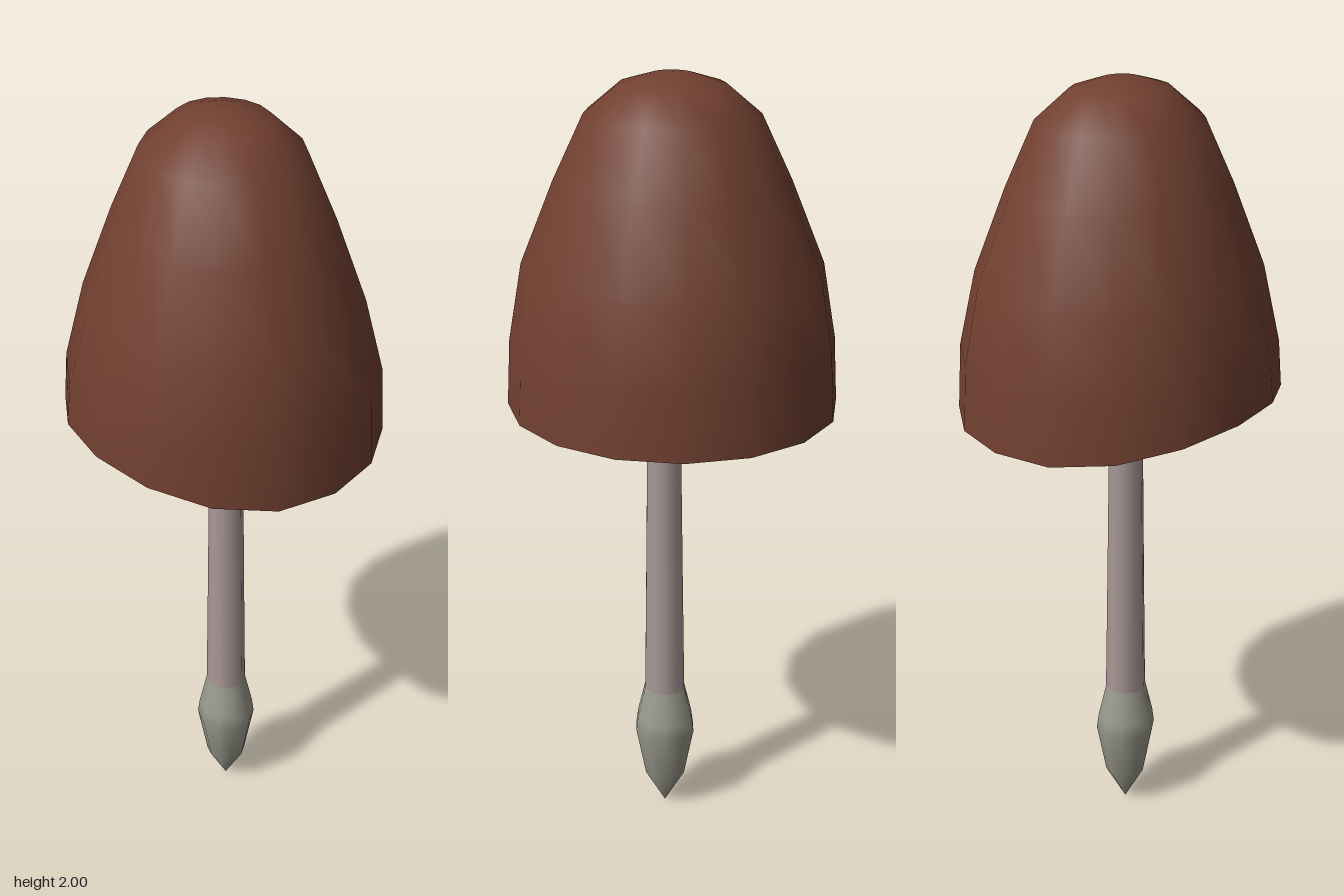
import * as THREE from 'three';

// Lathe of [radius, height] pairs, listed from bottom to top
function lathe(name, points, sides, color, start = 0) {
  const profile = points.map(([r, y]) => new THREE.Vector2(r, y));
  const geometry = new THREE.LatheGeometry(profile, sides, start);
  const mesh = new THREE.Mesh(geometry, new THREE.MeshStandardMaterial({ color, roughness: 0.9 }));
  mesh.name = name;
  return mesh;
}

// Makes the cap slightly oval and lifts its rim on one side
function warpCap(mesh) {
  const p = mesh.geometry.attributes.position;
  const { clamp, lerp } = THREE.MathUtils;
  for (let i = 0; i < p.count; i++) {
    const x = p.getX(i), y = p.getY(i), z = p.getZ(i);
    const low = clamp((1.55 - y) / 0.19, 0, 1);
    const nearRim = clamp((1.36 - y) / 0.15, 0, 1);
    const lean = Math.max(0, (-0.98 * x + 0.2 * z) / 0.41);
    p.setX(i, x * lerp(0.885, 0.945, low));
    p.setY(i, y + 0.065 * lean * lean * nearRim);
  }
  return mesh;
}

export function createModel() {
  const model = new THREE.Group();
  const sides = 16, start = -0.035;

  // Cap: domed outer skin, rim lip and pale hollow underside
  const capColor = 0x714030;
  const cap = new THREE.Group();
  cap.name = 'cap';
  cap.add(
    warpCap(lathe('capSkin', [
      [0.41, 1.195], [0.4, 1.36], [0.368, 1.55], [0.285, 1.75],
      [0.21, 1.905], [0.125, 1.975], [0.05, 1.997], [0, 2],
    ], sides, capColor, start)),
    warpCap(lathe('capRim', [[0.38, 1.205], [0.41, 1.195]], sides, 0x54301f, start)),
    warpCap(lathe('capUnderside', [
      [0.03, 1.29], [0.09, 1.262], [0.2, 1.248], [0.38, 1.205],
    ], sides, 0x8c8a88, start)),
  );
  model.add(cap);

  // Stem: slim tapering shaft above a bulb that ends in a point
  const stem = new THREE.Group();
  stem.name = 'stem';
  stem.add(
    lathe('shaft', [[0.052, 0.37], [0.048, 0.65], [0.044, 0.95], [0.041, 1.22], [0.043, 1.3]], 10, 0xa89896),
    lathe('bulb', [[0, 0], [0.052, 0.1], [0.077, 0.24], [0.072, 0.28], [0.052, 0.37]], 10, 0x9a9a8c),
  );
  stem.scale.z = 1.06;
  stem.position.z = 0.022;
  model.add(stem);

  return model;
}
